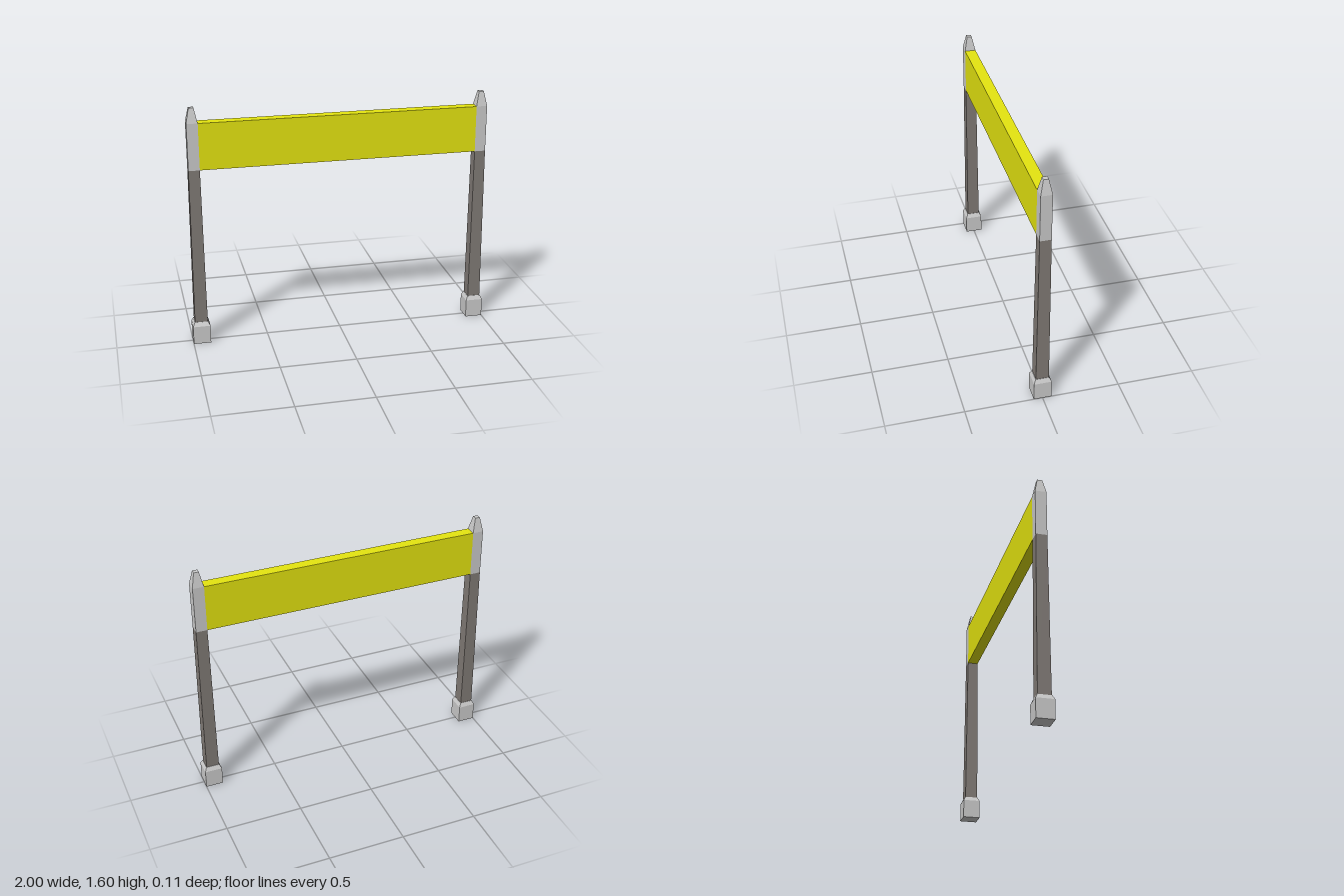
import * as THREE from 'three';

const grey = new THREE.MeshStandardMaterial({ color: 0xcccccc, flatShading: true });
const taupe = new THREE.MeshStandardMaterial({ color: 0x817b76, flatShading: true });
const yellow = new THREE.MeshStandardMaterial({ color: 0xe5e510, flatShading: true });

const POST_X = 0.943;
const POST_HALF = 0.036;
const BEAM_BOTTOM = 1.195;
const BEAM_TOP = 1.5;

// Square section that tapers from half-width `bottom` at y0 to `top` at y1
function taperedBlock(name, material, y0, y1, bottom, top, openEnded = false) {
  const geometry = new THREE.CylinderGeometry(
    top * Math.SQRT2, bottom * Math.SQRT2, y1 - y0, 4, 1, openEnded);
  geometry.rotateY(Math.PI / 4);
  geometry.translate(0, (y0 + y1) / 2, 0);
  const mesh = new THREE.Mesh(geometry, material);
  mesh.name = name;
  return mesh;
}

function createPost(name, x) {
  const post = new THREE.Group();
  post.name = name;
  post.position.x = x;
  post.add(
    taperedBlock('foot', grey, 0, 0.122, 0.057, 0.057),
    taperedBlock('footBevel', grey, 0.122, 0.15, 0.057, 0.044),
    taperedBlock('shaft', taupe, 0.15, BEAM_BOTTOM, 0.042, POST_HALF, true),
    taperedBlock('upperPost', grey, BEAM_BOTTOM, BEAM_TOP, POST_HALF, POST_HALF),
    taperedBlock('tip', grey, BEAM_TOP, 1.595, POST_HALF, 0.016)
  );
  return post;
}

export function createModel() {
  const model = new THREE.Group();
  model.name = 'barrierGate';

  // Matching posts on both sides
  model.add(createPost('leftPost', POST_X), createPost('rightPost', -POST_X));

  // Panel spanning the inner faces of the posts
  const panel = new THREE.Mesh(
    new THREE.BoxGeometry(2 * (POST_X - POST_HALF), BEAM_TOP - BEAM_BOTTOM, 2 * POST_HALF),
    yellow);
  panel.name = 'crossPanel';
  panel.position.y = (BEAM_BOTTOM + BEAM_TOP) / 2;
  model.add(panel);

  return model;
}
